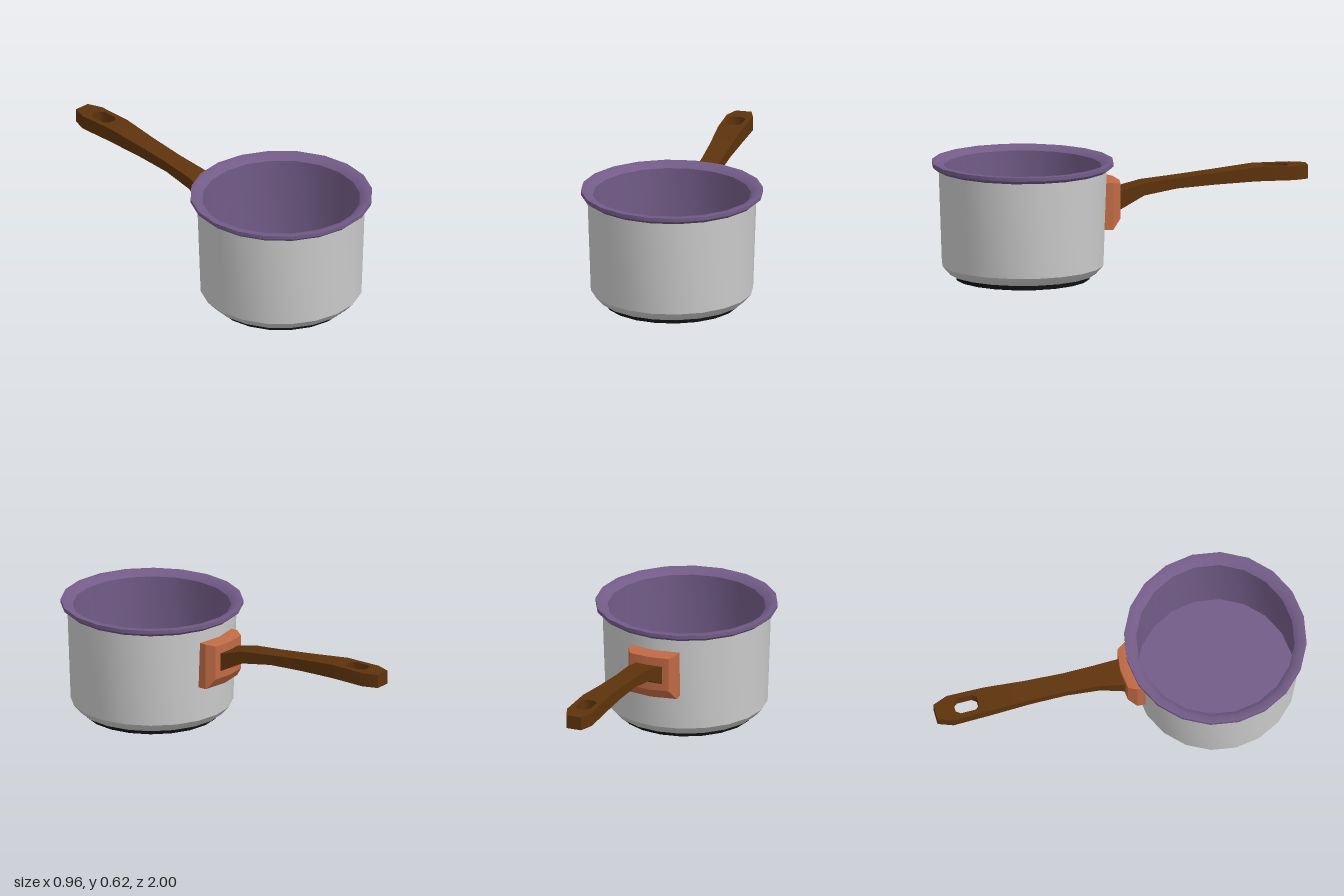
import * as THREE from 'three';
import { toCreasedNormals } from 'three/addons/utils/BufferGeometryUtils.js';

const SIDES = 20;
const POT_Z = 0.52;

function part(name, geometry, color, crease = 0.5) {
  const material = new THREE.MeshStandardMaterial({ color });
  const mesh = new THREE.Mesh(toCreasedNormals(geometry, crease), material);
  mesh.name = name;
  return mesh;
}

// Revolve a list of [radius, height] around the pot axis
function turned(name, profile, color, crease) {
  const points = profile.map(([r, y]) => new THREE.Vector2(r, y));
  const mesh = part(name, new THREE.LatheGeometry(points, SIDES), color, crease);
  mesh.position.z = POT_Z;
  return mesh;
}

// Curved mounting plate: rectangular loops wrapped round the pot wall
function bracketGeometry() {
  // half width, bottom, top, z at the middle
  const rings = [
    [0.137, 0.265, 0.515, 0.09],
    [0.137, 0.265, 0.515, 0.04],
    [0.11, 0.32, 0.505, 0.003],
  ];
  const positions = [];
  const index = [];
  for (const [w, y0, y1, z] of rings) {
    const bow = (x) => z + 1.15 * x * x;
    for (const [x, y] of [[-w, y0], [0, y0], [w, y0], [w, y1], [0, y1], [-w, y1]]) {
      positions.push(x, y, bow(x));
    }
  }
  for (let r = 0; r < rings.length - 1; r++) {
    for (let i = 0; i < 6; i++) {
      const a = r * 6 + i, b = r * 6 + (i + 1) % 6;
      index.push(a, b + 6, b, a, a + 6, b + 6);
    }
  }
  // Outer face in two halves, facing -z
  const f = 12;
  index.push(f, f + 5, f + 4, f, f + 4, f + 1, f + 1, f + 4, f + 3, f + 1, f + 3, f + 2);
  const geometry = new THREE.BufferGeometry();
  geometry.setAttribute('position', new THREE.Float32BufferAttribute(positions, 3));
  geometry.setIndex(index);
  return geometry;
}

// Handle: plan outline extruded upwards, then bent to the side profile
function handleGeometry() {
  // distance backwards, half width, bottom, top
  const stations = [
    [-0.02, 0.076, 0.355, 0.455],
    [0.12, 0.06, 0.427, 0.493],
    [0.3, 0.053, 0.457, 0.512],
    [0.5, 0.056, 0.47, 0.533],
    [0.72, 0.067, 0.481, 0.556],
    [0.92, 0.071, 0.481, 0.555],
    [1.0, 0.042, 0.481, 0.554],
  ];
  const outline = (list) => new THREE.Shape([
    ...list.map(([s, w]) => new THREE.Vector2(w, s)),
    ...list.slice().reverse().map(([s, w]) => new THREE.Vector2(-w, s)),
  ]);
  const shapes = [];
  for (let i = 0; i < 4; i++) shapes.push(outline(stations.slice(i, i + 2)));

  // Hanging hole with clipped corners
  const end = outline(stations.slice(4));
  const corners = [[0.042, 0.793], [0.042, 0.873], [0.024, 0.897], [-0.024, 0.897],
    [-0.042, 0.873], [-0.042, 0.793], [-0.024, 0.769], [0.024, 0.769]];
  end.holes.push(new THREE.Path(corners.map(([x, s]) => new THREE.Vector2(x, s))));
  shapes.push(end);

  const geometry = new THREE.ExtrudeGeometry(shapes, { depth: 1, bevelEnabled: false });
  geometry.rotateX(-Math.PI / 2);
  const p = geometry.attributes.position;
  for (let i = 0; i < p.count; i++) {
    const s = -p.getZ(i);
    let k = 0;
    while (k < stations.length - 2 && s > stations[k + 1][0]) k++;
    const [a, b] = [stations[k], stations[k + 1]];
    const t = (s - a[0]) / (b[0] - a[0]);
    const low = THREE.MathUtils.lerp(a[2], b[2], t);
    const high = THREE.MathUtils.lerp(a[3], b[3], t);
    p.setY(i, THREE.MathUtils.lerp(low, high, p.getY(i)));
  }
  return geometry;
}

export function createModel() {
  const pan = new THREE.Group();
  pan.name = 'saucepan';

  pan.add(turned('base', [[0, 0], [0.353, 0], [0.353, 0.03]], 0x101010));
  pan.add(turned('bodyFoot', [[0, 0.03], [0.387, 0.03], [0.427, 0.075]], 0xcccccc, 0.9));
  pan.add(turned('bodyWall', [[0.427, 0.075], [0.445, 0.592]], 0xcccccc));

  // Rim rolled over into the enamel lining and floor
  pan.add(turned('rimAndLining', [
    [0.44, 0.588], [0.46, 0.588], [0.48, 0.605], [0.48, 0.625],
    [0.445, 0.625], [0.416, 0.6], [0.415, 0.08], [0, 0.08],
  ], 0x735c88, 0.85));

  pan.add(part('handleBracket', bracketGeometry(), 0xc06a45));
  pan.add(part('handle', handleGeometry(), 0x5e330c, 1.0));
  return pan;
}
